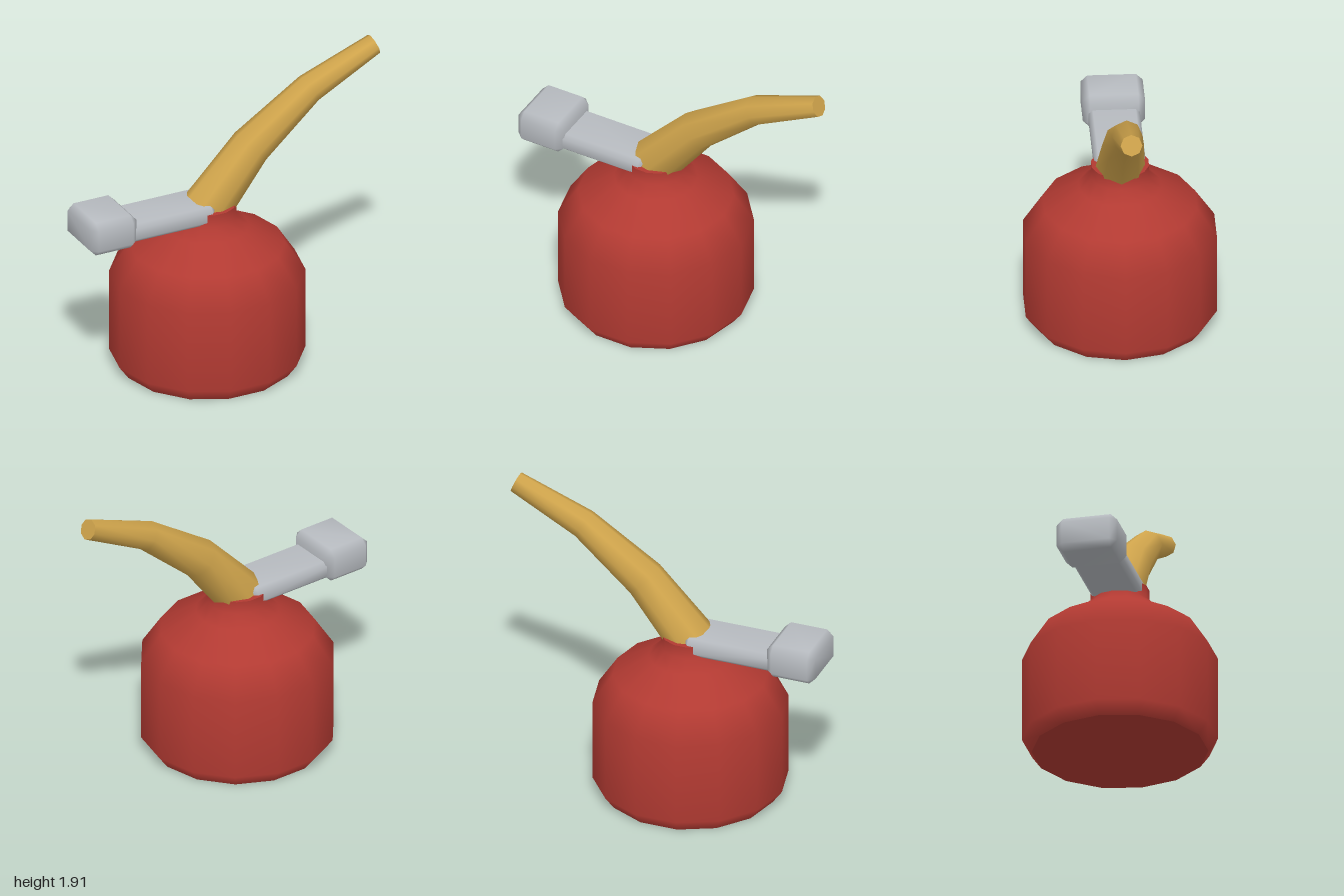
import * as THREE from 'three';
import { mergeGeometries, mergeVertices } from 'three/addons/utils/BufferGeometryUtils.js';
import { ConvexGeometry } from 'three/addons/geometries/ConvexGeometry.js';

const red = new THREE.MeshStandardMaterial({ color: 0xb23a32, name: 'redEnamel' });
const gold = new THREE.MeshStandardMaterial({ color: 0xcea34b, name: 'brass' });
const grey = new THREE.MeshStandardMaterial({ color: 0xb7bbc0, name: 'greyMetal' });

function part(name, geometry, material, x = 0, y = 0, z = 0) {
  const mesh = new THREE.Mesh(geometry, material);
  mesh.name = name;
  mesh.position.set(x, y, z);
  return mesh;
}

// Box with single 45 degree chamfers and smooth normals
function chamferBox(w, h, d, c) {
  const half = [w / 2, h / 2, d / 2];
  const points = [];
  for (const sx of [-1, 1]) for (const sy of [-1, 1]) for (const sz of [-1, 1]) {
    for (let axis = 0; axis < 3; axis++) {
      const p = half.map((v, i) => (i === axis ? v : v - c));
      points.push(new THREE.Vector3(sx * p[0], sy * p[1], sz * p[2]));
    }
  }
  const geometry = new ConvexGeometry(points);
  geometry.deleteAttribute('normal');
  const smooth = mergeVertices(geometry);
  smooth.computeVertexNormals();
  return smooth;
}

function indexed(points, index) {
  const geometry = new THREE.BufferGeometry().setFromPoints(points);
  geometry.setIndex(index);
  geometry.computeVertexNormals();
  return geometry;
}

// Tapered tube through rings given by their upper and lower edge: [topX, topY, bottomX, bottomY]
function ringTube(rings, sides) {
  const loops = rings.map(([tx, ty, bx, by]) => {
    const center = new THREE.Vector3((tx + bx) / 2, (ty + by) / 2, 0);
    const up = new THREE.Vector3(tx, ty, 0).sub(center);
    const r = up.length();
    return Array.from({ length: sides }, (_, j) => {
      const a = (j / sides) * Math.PI * 2;
      const p = center.clone().addScaledVector(up, Math.cos(a));
      p.z = r * Math.sin(a);
      return p;
    });
  });
  const index = [];
  for (let i = 0; i < rings.length - 1; i++) {
    for (let j = 0; j < sides; j++) {
      const k = (j + 1) % sides;
      const a = i * sides + j, b = i * sides + k;
      index.push(a, b, b + sides, a, b + sides, a + sides);
    }
  }
  const start = [], end = [];
  for (let j = 1; j < sides - 1; j++) {
    start.push(0, j + 1, j);
    end.push(0, j, j + 1);
  }
  return mergeGeometries([
    indexed(loops.flat(), index),
    indexed(loops[0], start),
    indexed(loops[loops.length - 1], end),
  ]);
}

export function createModel() {
  const model = new THREE.Group();
  model.name = 'oilCan';
  const cx = -0.145, sides = 14;

  // Can body with shoulder and short neck
  const profile = [
    [0.525, 0], [0.583, 0.08], [0.583, 0.6], [0.465, 0.78],
    [0.25, 0.9], [0.175, 0.97], [0.175, 1.05],
  ].map(([r, y]) => new THREE.Vector2(r, y));
  model.add(part('body', new THREE.LatheGeometry(profile, sides, Math.PI / 2), red, cx));
  model.add(part('base', new THREE.CircleGeometry(0.525, sides).rotateX(Math.PI / 2), red, cx));
  model.add(part('neckTop', new THREE.CircleGeometry(0.175, sides).rotateX(-Math.PI / 2), red, cx, 1.05));

  // Bent, tapering spout
  model.add(part('spout', ringTube([
    [-0.265, 1.11, -0.06, 0.89],
    [0.06, 1.45, 0.23, 1.27],
    [0.49, 1.735, 0.58, 1.575],
    [0.943, 1.91, 0.993, 1.79],
  ], 8), gold));

  // Thumb lever and its grip
  model.add(part('lever', chamferBox(0.58, 0.115, 0.305, 0.025), grey, -0.45, 1.033));
  model.add(part('grip', chamferBox(0.31, 0.215, 0.37, 0.04), grey, -0.845, 1.062));

  return model;
}
